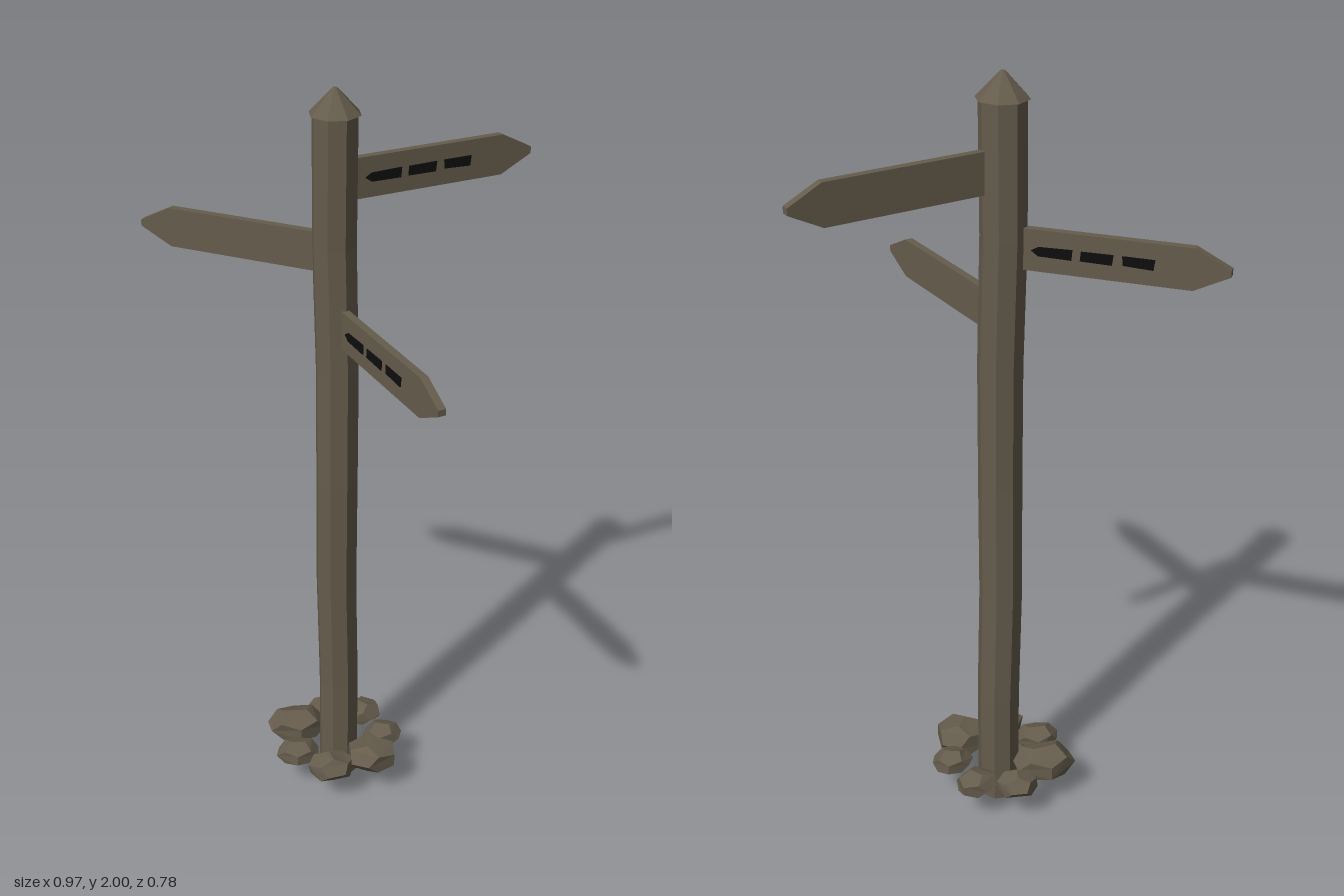
import * as THREE from 'three';

export function createModel() {
  const model = new THREE.Group();
  const wood = new THREE.MeshStandardMaterial({ color: 0x655c4c, flatShading: true });
  wood.name = 'weatheredBrown';
  const paint = new THREE.MeshStandardMaterial({ color: 0x0e0e0e });
  paint.name = 'blackPaint';
  const POST_X = -0.02, POST_Z = -0.117;

  const add = (parent, name, geometry, material, x = 0, y = 0, z = 0) => {
    const mesh = new THREE.Mesh(geometry, material);
    mesh.name = name;
    mesh.position.set(x, y, z);
    parent.add(mesh);
    return mesh;
  };

  // Eight-sided post, hewn slightly unevenly along its height
  const postGeo = new THREE.CylinderGeometry(0.056, 0.056, 1.945, 8, 6, false, Math.PI / 8);
  const p = postGeo.attributes.position;
  for (let i = 0; i < p.count; i++) {
    const y = p.getY(i);
    if (Math.abs(y) > 0.97) continue;
    p.setX(i, p.getX(i) + 0.003 * Math.sin(y * 7));
    p.setZ(i, p.getZ(i) + 0.003 * Math.cos(y * 5));
  }
  add(model, 'post', postGeo, wood, POST_X, 0.9725, POST_Z);

  // Pointed cap
  add(model, 'postCap', new THREE.CylinderGeometry(0.006, 0.063, 0.06, 8, 1, false, Math.PI / 8),
    wood, POST_X, 1.97, POST_Z);

  // Arrow boards, each with a row of painted dashes on one side
  const polygon = (pts) => new THREE.Shape(pts.map(([x, y]) => new THREE.Vector2(x, y)));
  const board = polygon([[0.03, -0.05], [0.447, -0.05], [0.53, -0.008], [0.53, 0.008], [0.447, 0.05], [0.03, 0.05]]);
  const boardGeo = new THREE.ExtrudeGeometry(board, { depth: 0.02, bevelEnabled: false }).translate(0, 0, -0.01);
  const dashes = [
    [[0.073, 0], [0.09, -0.012], [0.168, -0.013], [0.17, 0.012], [0.09, 0.01]],
    [[0.188, -0.012], [0.262, -0.013], [0.265, 0.012], [0.19, 0.011]],
    [[0.287, -0.01], [0.357, -0.013], [0.36, 0.012], [0.285, 0.012]],
  ].map((pts) => new THREE.ExtrudeGeometry(polygon(pts), { depth: 0.003, bevelEnabled: false }));
  for (const [name, y, degrees] of [['upperSign', 1.78, 20], ['middleSign', 1.6, 150], ['lowerSign', 1.42, -70]]) {
    const sign = new THREE.Group();
    sign.name = name;
    sign.position.set(POST_X, y, POST_Z);
    sign.rotation.y = THREE.MathUtils.degToRad(degrees);
    add(sign, 'arrowBoard', boardGeo, wood);
    dashes.forEach((geo) => add(sign, 'paintedDash', geo, paint, 0, 0, 0.0095));
    model.add(sign);
  }

  // Ring of flattened stones: x, y, z, half width, half height, half depth, turn
  const stones = [
    [-0.134, 0.117, -0.175, 0.083, 0.05, 0.06, 0.1],
    [-0.045, 0.11, -0.243, 0.055, 0.035, 0.045, 0.5],
    [0.062, 0.11, -0.218, 0.057, 0.036, 0.048, 0.3],
    [0.11, 0.11, -0.115, 0.055, 0.034, 0.045, -0.2],
    [0.065, 0.116, -0.018, 0.073, 0.049, 0.063, 0.15],
    [-0.052, 0.108, 0.008, 0.067, 0.038, 0.053, -0.1],
    [-0.14, 0.11, -0.06, 0.06, 0.034, 0.046, 0.2],
  ];
  stones.forEach(([x, y, z, w, h, d, turn], i) => {
    const geo = new THREE.DodecahedronGeometry(1.04, 0).rotateY(turn + i);
    const v = geo.attributes.position;
    for (let k = 0; k < v.count; k++) {
      // Same offset for coincident corners keeps the stone closed
      const s = 1 + 0.05 * Math.sin(v.getX(k) * 5 + v.getY(k) * 3 + v.getZ(k) * 4 + i * 2);
      v.setXYZ(k, v.getX(k) * s * w, v.getY(k) * s * h, v.getZ(k) * s * d);
    }
    geo.computeVertexNormals();
    add(model, 'stone', geo, wood, x, y, z);
  });

  return model;
}
